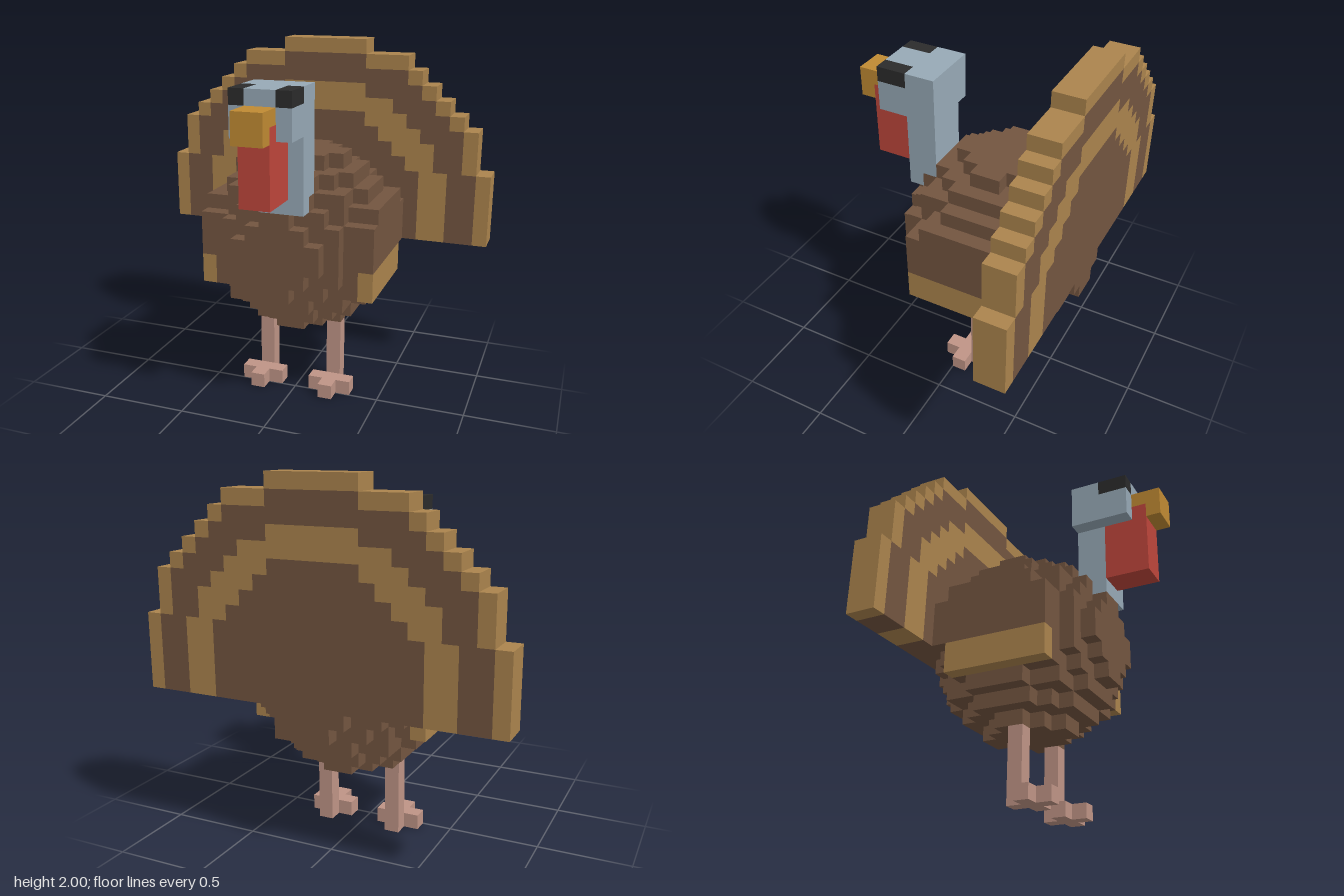
import * as THREE from 'three';
import { mergeGeometries } from 'three/addons/utils/BufferGeometryUtils.js';

const U = 1 / 12; // size of one block

const paint = (name, color) => {
  const m = new THREE.MeshStandardMaterial({ color });
  m.name = name;
  return m;
};

// Box between two block corners
function block(x0, x1, y0, y1, z0, z1) {
  const g = new THREE.BoxGeometry((x1 - x0) * U, (y1 - y0) * U, (z1 - z0) * U);
  return g.translate((x0 + x1) / 2 * U, (y0 + y1) / 2 * U, (z0 + z1) / 2 * U);
}

// Stepped outline, left foot over the top to the right foot, from half widths per row
function steps(widths, base) {
  const right = [];
  widths.forEach((w, i) => right.push([w, base + i], [w, base + i + 1]));
  const left = right.map(([x, y]) => [-x, y]);
  return [...left, ...right.reverse()];
}

// Arch between two stepped outlines, or a solid fan without an inner one
function arch(outer, inner, base, z0, z1) {
  const pts = steps(outer, base);
  if (inner) pts.push(...steps(inner, base).reverse());
  const clean = pts.filter((p, i) => i === 0 || p[0] !== pts[i - 1][0] || p[1] !== pts[i - 1][1]);
  const shape = new THREE.Shape(clean.map(([x, y]) => new THREE.Vector2(x * U, y * U)));
  const g = new THREE.ExtrudeGeometry(shape, { depth: (z1 - z0) * U, bevelEnabled: false });
  return g.translate(0, 0, z0 * U);
}

export function createModel() {
  const brown = paint('brown feathers', 0x735540);
  const tan = paint('tan feathers', 0xab844d);
  const blue = paint('blue grey skin', 0x97a9b6);
  const pink = paint('pink legs', 0xbf9486);
  const orange = paint('orange beak', 0xc08a33);
  const red = paint('red wattle', 0xbe463b);
  const black = paint('black eyes', 0x2b2b2b);

  const model = new THREE.Group();
  model.name = 'turkey';
  const add = (name, mat, ...geos) => {
    const mesh = new THREE.Mesh(geos.length > 1 ? mergeGeometries(geos) : geos[0], mat);
    mesh.name = name;
    model.add(mesh);
  };

  // Round body: rows of blocks inside a ball, leaving room for the tail
  const rows = [];
  for (let y = 5; y < 17; y++) {
    for (let z = -8; z < 4; z++) {
      if (z < -6 && y >= 10) continue;
      const rest = 37 - (y + 0.5 - 11) ** 2 - (z + 0.5 + 2) ** 2;
      if (rest < 0.25) continue;
      const w = Math.min(5, Math.floor(Math.sqrt(rest) + 0.5));
      rows.push(block(-w, w, y, y + 1, z, z + 1));
    }
  }
  add('body', brown, ...rows);

  // Tail fan in four nested bands
  const bands = [
    [12, 12, 12, 12, 12, 11, 11, 11, 10, 9, 8, 7, 6, 3],
    [11, 11, 11, 11, 11, 10, 10, 10, 9, 8, 7, 6, 3],
    [9, 9, 9, 9, 9, 8, 8, 7, 6, 5, 3],
    [7, 7, 7, 7, 7, 6, 5, 4, 3],
  ];
  const bandNames = ['tailTip', 'tailOuterBand', 'tailInnerBand', 'tailCentre'];
  bands.forEach((b, i) => add(bandNames[i], i % 2 ? brown : tan, arch(b, bands[i + 1], 10, -8, -6)));

  // Wings, legs and eyes on both sides
  for (const [side, s] of [['left', 1], ['right', -1]]) {
    const sb = (x0, x1, ...r) => (s > 0 ? block(x0, x1, ...r) : block(-x1, -x0, ...r));
    add(side + 'Wing', brown,
      sb(4, 5, 8, 10, -5, 2), sb(4, 6, 10, 13, -6, 2), sb(4, 6, 13, 14, -5, 1));
    add(side + 'WingTip', tan, sb(5, 6, 8, 10, -5, 2));
    add(side + 'Leg', pink, sb(2, 3, 0, 5, -2, -1));
    add(side + 'Foot', pink, sb(1, 4, 0, 1, -1, 0), sb(2, 3, 0, 1, 0, 1));
    add(side + 'Eye', black, sb(1, 2, 21, 22, 4, 6));
  }

  // Head and neck
  add('head', blue,
    block(-2, 2, 19, 22, 2, 4), block(-2, 2, 19, 21, 4, 6), block(-1, 1, 21, 22, 4, 6));
  add('neck', blue, block(-1, 2, 15, 19, 2, 4), block(-1, 2, 14, 15, 3, 4));

  // Beak and the wattle hanging below it
  add('beak', orange, block(-1, 1, 20, 21, 6, 8), block(-1, 1, 19, 20, 7, 8));
  add('wattle', red, block(-1, 1, 15, 19, 4, 7), block(-1, 1, 19, 20, 6, 7));

  return model;
}
